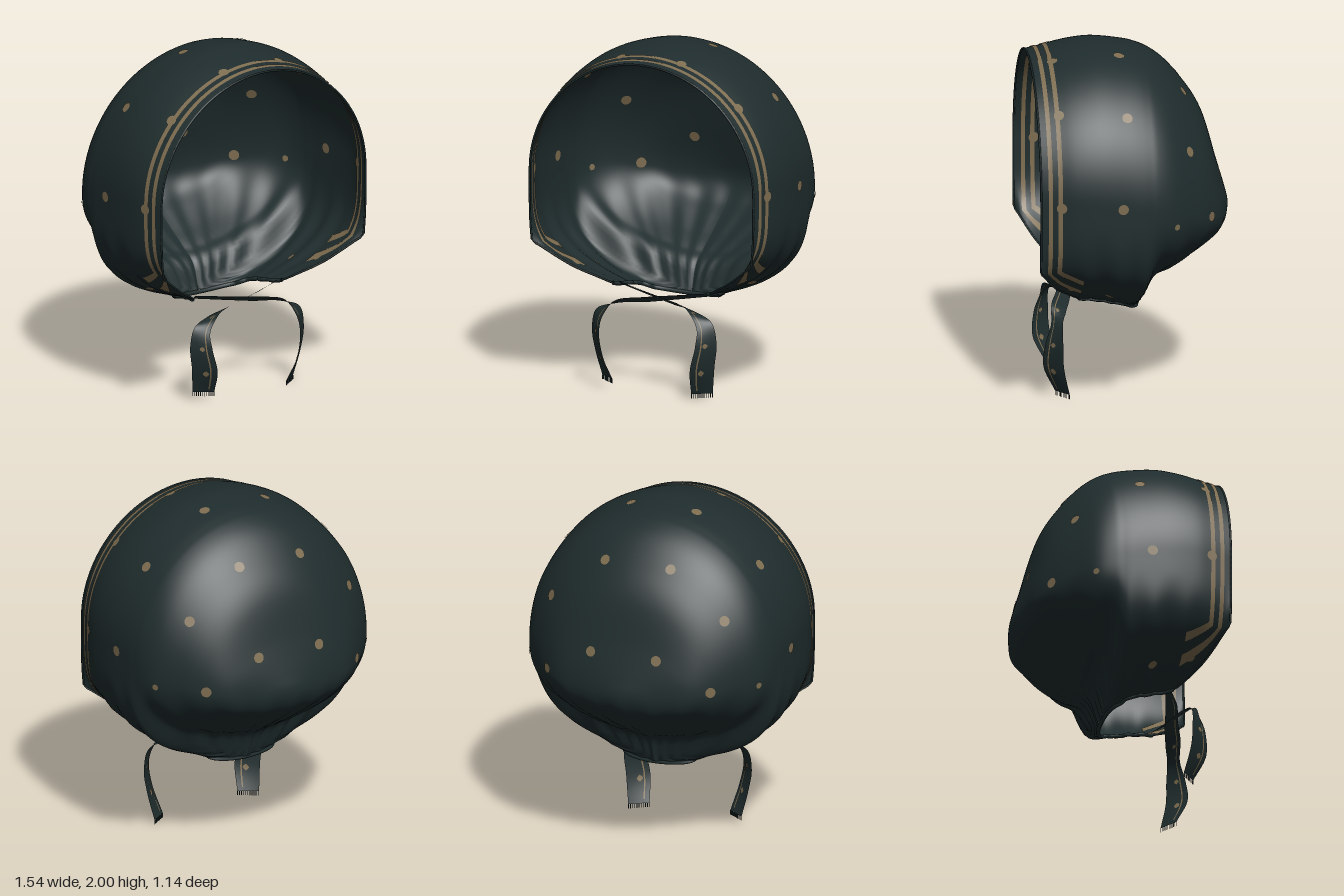
import * as THREE from 'three';

const mat = (name, color) => {
  const m = new THREE.MeshStandardMaterial({ color, side: THREE.DoubleSide });
  m.name = name;
  return m;
};

// Cross-sections from back to front: z, half width, widest height, top, bottom, half gap at the bottom,
// and the two exponents that shape the lower curve
const SECTIONS = [
  [-0.57, 0, 1.04, 1.04, 1.04, 0, 2, 0.5],
  [-0.55, 0.17, 1.04, 1.14, 0.965, 0, 2, 0.5],
  [-0.5, 0.38, 1.06, 1.31, 0.9, 0, 2, 0.5],
  [-0.42, 0.51, 1.08, 1.58, 0.84, 0, 2, 0.5],
  [-0.32, 0.615, 1.12, 1.745, 0.77, 0, 2.1, 0.5],
  [-0.2, 0.71, 1.15, 1.88, 0.69, 0, 2.5, 0.6],
  [-0.1, 0.745, 1.19, 1.945, 0.6, 0, 3, 0.8],
  [-0.06, 0.75, 1.2, 1.96, 0.48, 0, 3.4, 1],
  [-0.03, 0.755, 1.2, 1.97, 0.485, 0.15, 3.7, 1],
  [0.05, 0.76, 1.22, 1.985, 0.525, 0.25, 4, 1],
  [0.2, 0.765, 1.24, 2.0, 0.56, 0.28, 4.2, 1],
  [0.3, 0.76, 1.25, 1.99, 0.58, 0.3, 4.2, 1],
  [0.38, 0.75, 1.25, 1.975, 0.63, 0.38, 4.2, 1],
  [0.46, 0.73, 1.25, 1.955, 0.7, 0.5, 4.2, 1],
  [0.56, 0.705, 1.25, 1.935, 0.84, 0.69, 4, 1],
];
const Z_BACK = -0.57, Z_FRONT = 0.56;
const toP = (z) => Math.sqrt(Math.max(0, z - Z_BACK));
const P_MAX = toP(Z_FRONT);
const sections = new THREE.CubicInterpolant(
  SECTIONS.map((s) => toP(s[0])), SECTIONS.flatMap((s) => s.slice(1)), 7);

// Cloth surface: p runs back to front, a runs over the head from one side to the other
function cloth(p, a) {
  p = THREE.MathUtils.clamp(p, 0, P_MAX);
  a = THREE.MathUtils.clamp(a, 0, 1);
  const [W, M, T, B, s0, n, e] = sections.evaluate(p);
  const gap = Math.max(0, s0), side = a < 0.5 ? -1 : 1;
  const th = Math.PI * (2 * Math.min(a, 1 - a) - 0.5);
  const s = Math.min(1, Math.abs(Math.sin(th)));
  const z = Z_BACK + p * p;
  const x = th >= 0 ? W * Math.cos(th) : gap + (W - gap) * Math.pow(1 - s ** n, e);
  const y = th >= 0 ? M + (T - M) * s : M - (M - B) * s;
  // gathers fanning out of the neck
  const fade = (1 - THREE.MathUtils.smoothstep(y, 0.55, 1.1)) * (1 - THREE.MathUtils.smoothstep(z, 0.25, 0.45));
  const ang = Math.atan2(x, 0.12 - z);
  const k = 1 + fade * (0.025 * Math.cos(ang * 24) + 0.012 * Math.cos(ang * 9));
  return new THREE.Vector3(side * x * k, y, 0.12 + (z - 0.12) * k);
}

// Point lifted off a surface along its normal
function lifted(f, u, v, off) {
  const e = 0.004, p = f(u, v);
  const du = f(u + e, v).sub(f(u - e, v)), dv = f(u, v + e).sub(f(u, v - e));
  return p.addScaledVector(du.cross(dv).normalize(), off);
}

// Sheet of quads from a point function over the unit square
function sheet(nu, nv, f) {
  const pos = [], idx = [];
  for (let i = 0; i <= nu; i++) for (let j = 0; j <= nv; j++) pos.push(...f(i / nu, j / nv).toArray());
  for (let i = 0; i < nu; i++) for (let j = 0; j < nv; j++) {
    const a = i * (nv + 1) + j, b = a + nv + 1;
    idx.push(a, b, a + 1, b, b + 1, a + 1);
  }
  const g = new THREE.BufferGeometry();
  g.setAttribute('position', new THREE.Float32BufferAttribute(pos, 3));
  g.setIndex(idx);
  g.computeVertexNormals();
  return g;
}

export function createModel() {
  const model = new THREE.Group();
  model.name = 'bonnet';
  const fabric = mat('dark teal fabric', 0x1f2c2d);
  const tan = mat('tan print', 0x7d6c4f);
  const add = (parent, name, geo, material) => {
    const m = new THREE.Mesh(geo, material);
    m.name = name;
    parent.add(m);
    return m;
  };

  // Cap
  const cap = add(model, 'cap', sheet(100, 180, (u, v) => cloth(u * P_MAX, v)), fabric);

  // Hems along the face opening and the neck
  const tube = (pts, r) => new THREE.TubeGeometry(new THREE.CatmullRomCurve3(pts), 120, r, 6);
  const faceEdge = [], neckEdge = [];
  for (let i = 0; i <= 12; i++) faceEdge.push(cloth(toP(0.3 + 0.26 * i / 12), 0));
  for (let i = 3; i < 58; i++) faceEdge.push(cloth(P_MAX, i / 60));
  for (let i = 12; i >= 0; i--) faceEdge.push(cloth(toP(0.3 + 0.26 * i / 12), 1));
  for (let i = -14; i <= 14; i++) {
    neckEdge.push(cloth(toP(-0.055 + 0.355 * Math.abs(i) / 14), i < 0 ? 0 : 1));
  }
  add(model, 'faceHem', tube(faceEdge, 0.006), fabric);
  add(model, 'neckHem', tube(neckEdge, 0.012), fabric);

  // Two printed stripes following the face opening, on both sides of the cloth
  const stripes = new THREE.Group();
  stripes.name = 'edgeStripes';
  model.add(stripes);
  for (const [d0, d1] of [[0.042, 0.066], [0.096, 0.121]]) for (const off of [0.004, -0.004]) {
    add(stripes, 'edgeStripe', sheet(160, 1, (u, v) => {
      const d = d0 + (d1 - d0) * v, a0 = 0.36 * Math.sqrt(d), t = Math.min(u, 1 - u);
      const z = t < 0.15 ? THREE.MathUtils.lerp(0.31, Z_FRONT - d, t / 0.15) : Z_FRONT - d;
      const h = t < 0.15 ? a0 : THREE.MathUtils.lerp(a0, 0.5, (t - 0.15) / 0.35);
      return lifted(cloth, toP(z), u < 0.5 ? h : 1 - h, off);
    }), tan);
  }

  // Printed dots, each visible inside and outside
  const dots = new THREE.Group();
  dots.name = 'dots';
  model.add(dots);
  const ray = new THREE.Raycaster();
  const dotShape = new THREE.CircleGeometry(0.03, 14);
  const dot = (origin, dir, size = 1) => {
    ray.set(new THREE.Vector3(...origin), new THREE.Vector3(...dir));
    const hit = ray.intersectObject(cap)[0];
    if (!hit) return;
    for (const off of [0.004, -0.004]) {
      const m = add(dots, 'dot', dotShape, tan);
      m.position.copy(hit.point).addScaledVector(hit.face.normal, off);
      m.lookAt(m.position.clone().add(hit.face.normal));
      m.scale.setScalar(size);
    }
  };
  for (const s of [-1, 1]) {
    for (const [x, z] of [[0.2, 0.065], [0.59, 0.06], [0.19, 0.44], [0.55, 0.442]]) dot([s * x, 3, z], [0, -1, 0]);
    for (const [x, y] of [[0.2, 1.74], [0.53, 1.48], [0.2, 1.26], [0.5, 1.09]]) dot([s * x, y, -3], [0, 0, 1]);
    for (const [z, y, k] of [[0.1, 1.22, 1], [0.445, 1.23, 1], [-0.21, 1.09, 0.6], [0.36, 0.69, 0.9], [0.15, 0.64, 0.9]]) {
      dot([s * 3, y, z], [-s, 0, 0], k);
    }
  }

  // Crossed tie ribbons: centre line and half-width vector at each station
  const V = (a) => new THREE.Vector3(...a);
  const centre = new THREE.CatmullRomCurve3([[-0.28, 0.57, 0.28], [-0.12, 0.55, 0.33], [0.08, 0.52, 0.37],
    [0.24, 0.495, 0.41], [0.33, 0.425, 0.43], [0.348, 0.32, 0.445], [0.325, 0.18, 0.447], [0.298, 0.025, 0.395]].map(V));
  const width = new THREE.CatmullRomCurve3([[0, 0.012, 0.015], [0.005, 0.018, 0.035], [0.005, 0.022, 0.04],
    [-0.015, 0.018, 0.04], [-0.035, -0.01, 0.03], [-0.045, 0, 0.045], [-0.05, 0, 0.054], [-0.05, 0, 0.036]].map(V));
  for (const s of [1, -1]) {
    const tie = new THREE.Group();
    tie.name = s > 0 ? 'leftTie' : 'rightTie';
    model.add(tie);
    const ribbon = (u, v) => {
      const t = THREE.MathUtils.clamp(u, 0, 1);
      const p = centre.getPoint(t).addScaledVector(width.getPoint(t), v);
      p.y += s > 0 ? 0.012 * (1 - t) : 0.03 * t * t;
      p.x *= s;
      return p;
    };
    add(tie, 'ribbon', sheet(60, 4, (u, v) => ribbon(u, v * 2 - 1)), fabric);
    for (const off of [0.003, -0.003]) {
      add(tie, 'ribbonStripe', sheet(60, 1, (u, v) => lifted(ribbon, 0.08 + 0.9 * u, 0.42 + 0.12 * v, off)), tan);
      // small printed diamonds down the ribbon
      for (const u0 of [0.45, 0.72, 0.88]) {
        add(tie, 'ribbonDot', sheet(6, 1, (u, v) =>
          lifted(ribbon, u0 + 0.035 * (u - 0.5), 0.1 + (v - 0.5) * 0.5 * Math.sin(Math.PI * u), off)), tan);
      }
    }
    // frayed end
    for (let i = 0; i < 12; i++) {
      const thread = add(tie, 'fringe', new THREE.BoxGeometry(0.003, 0.025, 0.003), fabric);
      thread.position.copy(ribbon(1, -0.97 + 1.94 * i / 11));
      thread.position.y -= 0.0125;
    }
  }
  return model;
}
